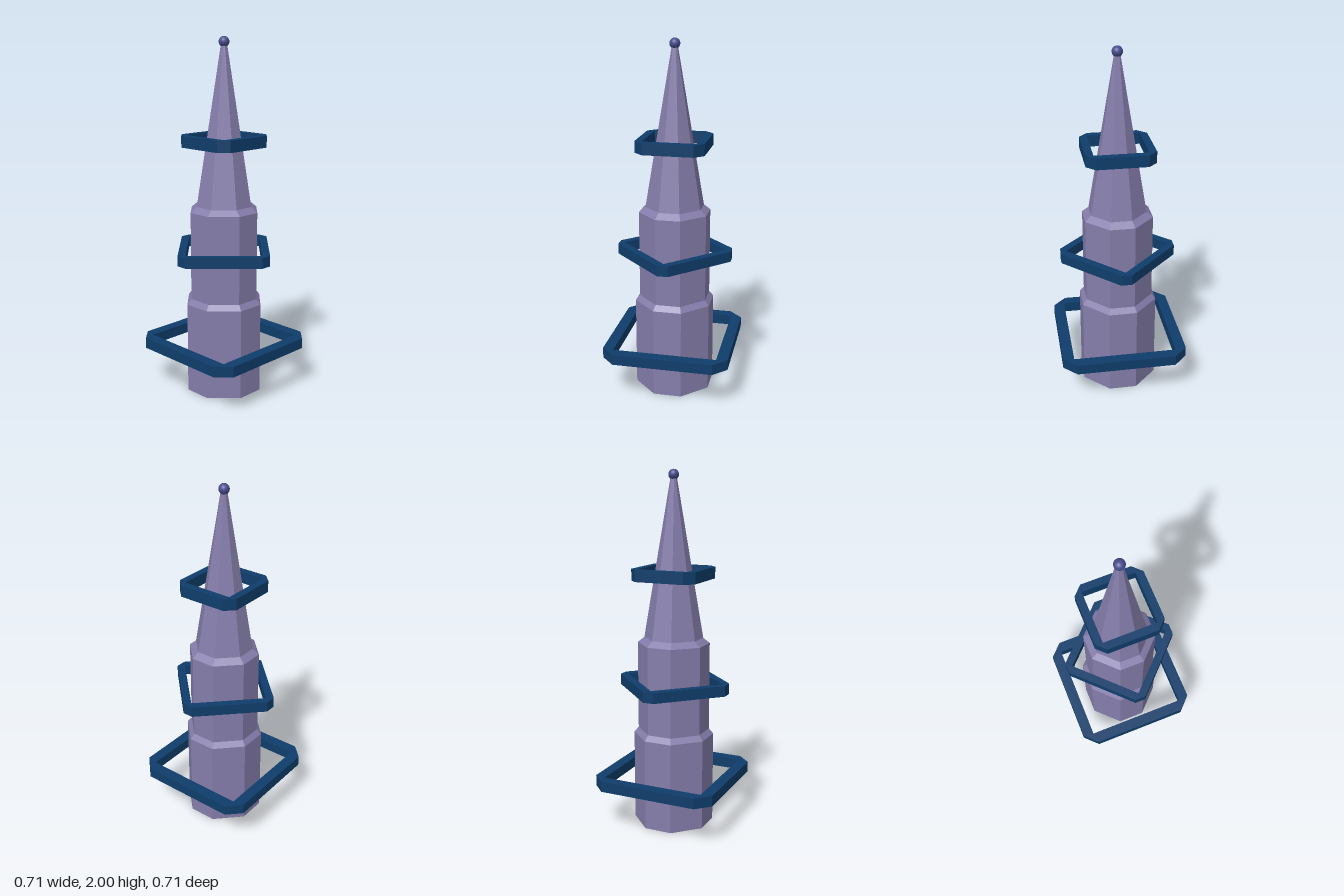
import * as THREE from 'three';

const stone = new THREE.MeshStandardMaterial({ color: 0x857dab, flatShading: true });
const ringBlue = new THREE.MeshStandardMaterial({ color: 0x0f3d6b, flatShading: true });
const orbBlue = new THREE.MeshStandardMaterial({ color: 0x474c8e });

// Corners of a square with cut corners: h = half width, e = half length of the remaining side
const cutSquare = (h, e) => [
  [h, -e], [h, e], [e, h], [-e, h], [-h, e], [-h, -e], [-e, -h], [e, -h],
];

// Solid through stacked sections [y, half width, half side], closed at both ends
function loft(sections) {
  const rows = sections.map(([y, h, e]) => cutSquare(h, e).map(([x, z]) => [x, y, z]));
  const pos = [];
  const tri = (a, b, c) => pos.push(...a, ...b, ...c);
  for (let r = 0; r < rows.length - 1; r++) {
    for (let i = 0; i < 8; i++) {
      const j = (i + 1) % 8;
      const [a, b, c, d] = [rows[r][i], rows[r][j], rows[r + 1][j], rows[r + 1][i]];
      tri(a, d, c);
      tri(a, c, b);
    }
  }
  const bottom = rows[0], top = rows[rows.length - 1];
  for (let i = 1; i < 7; i++) {
    tri(bottom[0], bottom[i], bottom[i + 1]);
    tri(top[0], top[i + 1], top[i]);
  }
  const geo = new THREE.BufferGeometry();
  geo.setAttribute('position', new THREE.Float32BufferAttribute(pos, 3));
  geo.computeVertexNormals();
  return geo;
}

// Flat frame: cut-corner outside, plain square hole
function ringGeometry(outer, side, inner, height) {
  const shape = new THREE.Shape(cutSquare(outer, side).map(([x, y]) => new THREE.Vector2(x, y)));
  shape.holes.push(new THREE.Path([[-1, -1], [-1, 1], [1, 1], [1, -1]]
    .map(([x, y]) => new THREE.Vector2(x * inner, y * inner))));
  return new THREE.ExtrudeGeometry(shape, { depth: height, bevelEnabled: false })
    .rotateX(-Math.PI / 2);
}

export function createModel() {
  const model = new THREE.Group();
  const add = (name, geometry, material, y = 0, turn = 0) => {
    const mesh = new THREE.Mesh(geometry, material);
    mesh.name = name;
    mesh.position.y = y;
    mesh.rotation.y = turn;
    model.add(mesh);
  };

  // Tower tiers, each narrowing through a sloped shoulder
  add('lowerTier', loft([[0, 0.213, 0.079], [0.52, 0.213, 0.079], [0.55, 0.19, 0.07]]), stone);
  add('middleTier', loft([[0.55, 0.19, 0.07], [1.05, 0.19, 0.07], [1.08, 0.155, 0.058]]), stone);
  add('spire', loft([[1.08, 0.155, 0.058], [1.97, 0.013, 0.008]]), stone);
  add('tipOrb', new THREE.SphereGeometry(0.029, 24, 16), orbBlue, 1.971);

  // Floating frames, the middle one turned by an eighth
  add('lowerRing', ringGeometry(0.356, 0.281, 0.293, 0.06), ringBlue, 0.24);
  add('middleRing', ringGeometry(0.251, 0.208, 0.207, 0.06), ringBlue, 0.78, Math.PI / 4);
  add('upperRing', ringGeometry(0.19, 0.14, 0.148, 0.065), ringBlue, 1.405);

  return model;
}
